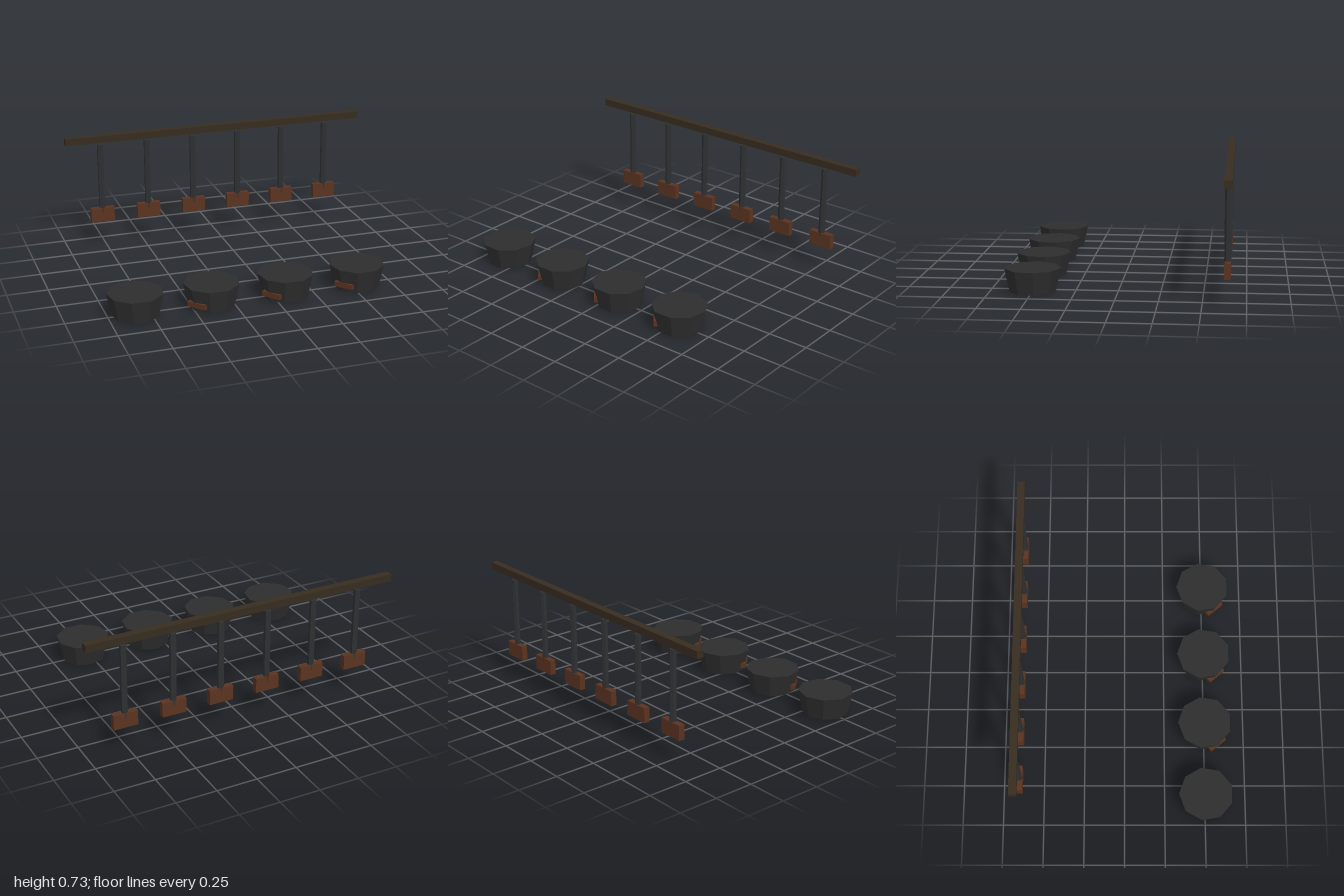
import * as THREE from 'three';

function mat(name, color) {
  const m = new THREE.MeshStandardMaterial({ color, flatShading: true });
  m.name = name;
  return m;
}

export function createModel() {
  const iron = mat('blackened iron', 0x2d2d2d);
  const steel = mat('dark steel', 0x2e3032);
  const beam = mat('dark timber', 0x372c20);
  const wood = mat('brown wood', 0x5a3320);

  const model = new THREE.Group();
  model.name = 'potsAndHangingTools';

  function add(parent, name, geometry, material, x, y, z, turn = 0) {
    const mesh = new THREE.Mesh(geometry, material);
    mesh.name = name;
    mesh.position.set(x, y, z);
    mesh.rotation.y = turn;
    parent.add(mesh);
    return mesh;
  }

  // Rail across the back
  const backZ = -0.641;
  add(model, 'rail', new THREE.BoxGeometry(1.985, 0.045, 0.046), beam, 0.004, 0.712, backZ);

  // Row of tools below the rail: thin shaft with a block head
  const shaftGeo = new THREE.CylinderGeometry(0.02, 0.02, 0.46, 6);
  const headGeo = new THREE.BoxGeometry(0.152, 0.092, 0.037);
  for (let i = 0; i < 6; i++) {
    const tool = new THREE.Group();
    tool.name = 'tool';
    tool.position.set(-0.763 + i * 0.306, 0, backZ);
    add(tool, 'shaft', shaftGeo, steel, 0, 0.445, 0);
    add(tool, 'head', headGeo, wood, 0, 0.201, 0);
    model.add(tool);
  }

  // Row of nine-sided tapered pots, all but the first with a wooden block
  const potGeo = new THREE.CylinderGeometry(0.1675, 0.137, 0.14, 9);
  const blockGeo = new THREE.BoxGeometry(0.12, 0.031, 0.03);
  for (let i = 0; i < 4; i++) {
    const pot = new THREE.Group();
    pot.name = 'pot';
    pot.position.set(-0.835 + i * 0.458, 0, 0.502);
    add(pot, 'potBody', potGeo, iron, 0, 0.07, 0, Math.PI);
    if (i > 0) add(pot, 'sideBlock', blockGeo, wood, -0.11, 0.042, 0.08, -0.877);
    model.add(pot);
  }

  return model;
}
